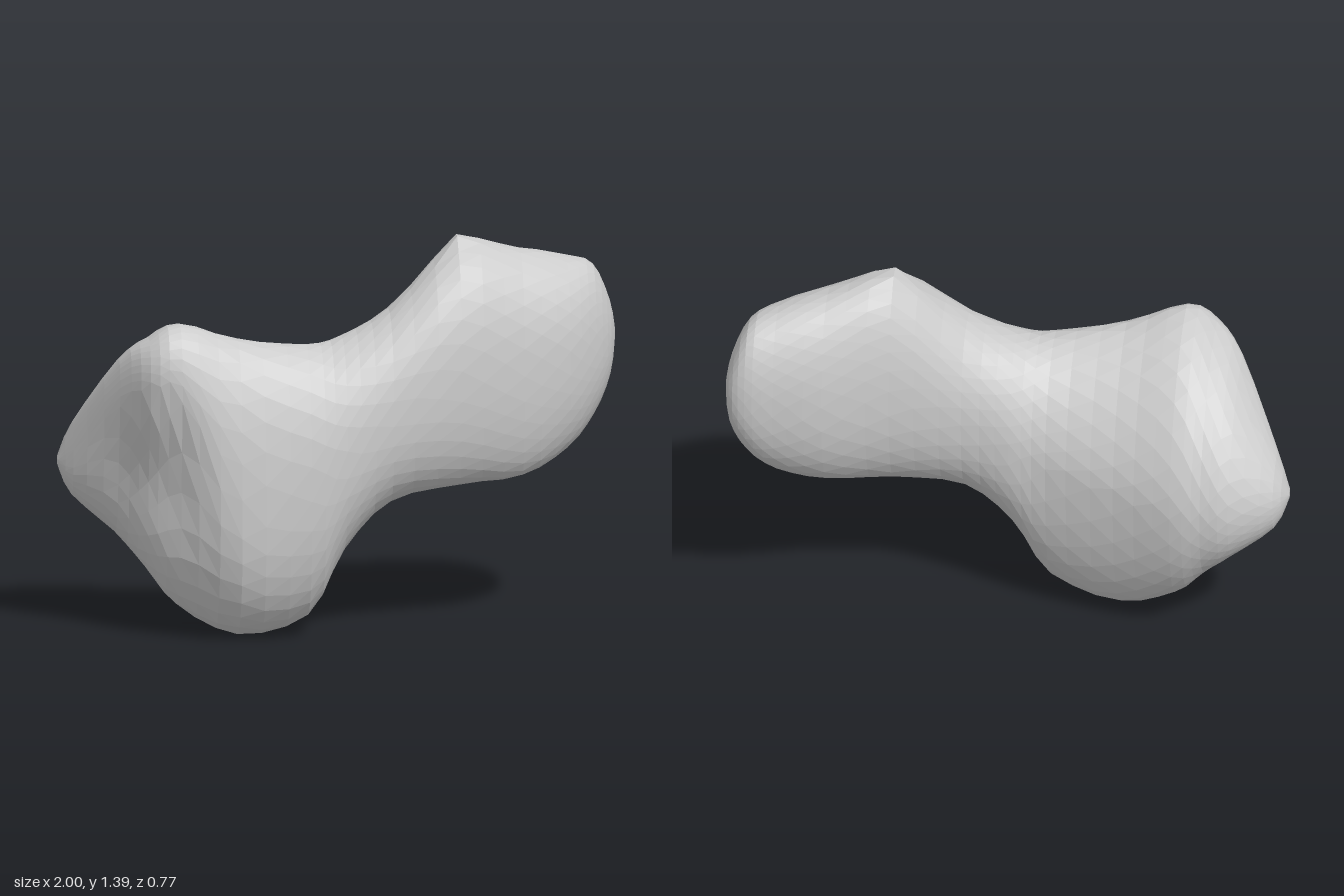
import * as THREE from 'three';

// Cross-section stations along x:
// [x, topY, topZ, frontZ, frontY, bottomY, bottomZ, backZ, backY]
const STATIONS = [
  [-1.00, 0.61, -0.12, -0.10, 0.60, 0.58, -0.12, -0.14, 0.60],
  [-0.95, 0.74, -0.07, -0.02, 0.60, 0.47, -0.13, -0.22, 0.58],
  [-0.80, 1.00, 0.13, 0.19, 0.84, 0.34, -0.09, -0.30, 0.57],
  [-0.70, 1.09, 0.19, 0.31, 0.93, 0.23, -0.01, -0.31, 0.57],
  [-0.59, 1.14, 0.20, 0.34, 0.88, 0.10, 0.05, -0.30, 0.57],
  [-0.38, 1.075, 0.16, 0.38, 0.45, 0.00, 0.09, -0.23, 0.60],
  [-0.13, 1.04, 0.10, 0.36, 0.52, 0.07, 0.12, -0.17, 0.66],
  [0.00, 1.06, 0.05, 0.33, 0.64, 0.30, 0.10, -0.17, 0.72],
  [0.17, 1.15, 0.01, 0.27, 0.77, 0.465, 0.06, -0.18, 0.83],
  [0.42, 1.36, -0.08, 0.19, 0.89, 0.51, 0.01, -0.25, 0.95],
  [0.65, 1.33, -0.15, 0.10, 0.91, 0.53, -0.04, -0.34, 0.97],
  [0.82, 1.29, -0.21, 0.02, 0.94, 0.61, -0.14, -0.38, 0.99],
  [0.92, 1.25, -0.25, -0.07, 0.96, 0.72, -0.21, -0.39, 1.00],
  [0.98, 1.12, -0.26, -0.16, 0.98, 0.85, -0.25, -0.36, 1.00],
  [1.00, 1.01, -0.26, -0.25, 1.00, 0.99, -0.26, -0.27, 1.00],
];

// Smooth interpolation of all section values
function sectionAt(t) {
  const last = STATIONS.length - 1;
  const i = Math.min(Math.floor(t), last - 1);
  const f = t - i;
  const [a, b, c, d] = [i - 1, i, i + 1, i + 2].map(
    (k) => STATIONS[THREE.MathUtils.clamp(k, 0, last)]);
  return b.map((p, k) => {
    const m0 = (c[k] - a[k]) / 2, m1 = (d[k] - p) / 2;
    const f2 = f * f, f3 = f2 * f;
    return (2 * f3 - 3 * f2 + 1) * p + (f3 - 2 * f2 + f) * m0
      + (3 * f2 - 2 * f3) * c[k] + (f3 - f2) * m1;
  });
}

// Point on a lopsided oval through the section's four extreme points
function ovalPoint(s, angle) {
  const [x, topY, topZ, frontZ, frontY, bottomY, bottomZ, backZ, backY] = s;
  const c = Math.cos(angle), n = Math.sin(angle);
  const poleY = c > 0 ? topY : bottomY, poleZ = c > 0 ? topZ : bottomZ;
  const sideY = n > 0 ? frontY : backY, sideZ = n > 0 ? frontZ : backZ;
  // The upper back is leaner on the forked end than on the long lobe
  const upperBack = 1.12 - 0.2 * THREE.MathUtils.smoothstep(x, -0.25, 0.1);
  const power = c > 0 && n < 0 ? upperBack : 0.88;
  let y = sideY + (poleY - sideY) * Math.abs(c) ** power;
  let z = poleZ + (sideZ - poleZ) * Math.abs(n) ** power;
  // Shallow hollow below the upper knob
  if (n > 0) z -= 0.1 * n * Math.exp(-(((x + 0.71) / 0.14) ** 2) - ((y - 0.56) / 0.23) ** 2);
  // Small peak on the long lobe
  if (c > 0) y += 0.045 * c * Math.exp(-(((x - 0.42) / 0.07) ** 2) - ((z + 0.07) / 0.06) ** 2);
  return [x, y, z];
}

export function createModel() {
  const group = new THREE.Group();
  const around = 32, along = (STATIONS.length - 1) * 3;
  const positions = [], indices = [];

  // Rings of the body skin
  for (let i = 0; i <= along; i++) {
    const s = sectionAt(i / 3);
    for (let j = 0; j < around; j++) {
      positions.push(...ovalPoint(s, ((j + (i % 2) / 2) / around) * Math.PI * 2));
    }
  }
  for (let i = 0; i < along; i++) {
    for (let j = 0; j < around; j++) {
      const k = (j + 1) % around;
      const a = i * around + j, b = i * around + k, c = a + around, d = b + around;
      // Alternate diagonals follow the staggered rings
      if (i % 2) indices.push(a, d, c, a, b, d);
      else indices.push(a, b, c, b, d, c);
    }
  }

  // Small end caps
  for (const [start, flip] of [[0, false], [along * around, true]]) {
    for (let j = 1; j < around - 1; j++) {
      const [p, q] = flip ? [start + j, start + j + 1] : [start + j + 1, start + j];
      indices.push(start, p, q);
    }
  }

  const geometry = new THREE.BufferGeometry();
  geometry.setAttribute('position', new THREE.Float32BufferAttribute(positions, 3));
  geometry.setIndex(indices);
  geometry.computeVertexNormals();
  const body = new THREE.Mesh(geometry,
    new THREE.MeshStandardMaterial({ color: 0xcccccc, flatShading: true }));
  body.name = 'lobedBody';
  group.add(body);
  return group;
}
